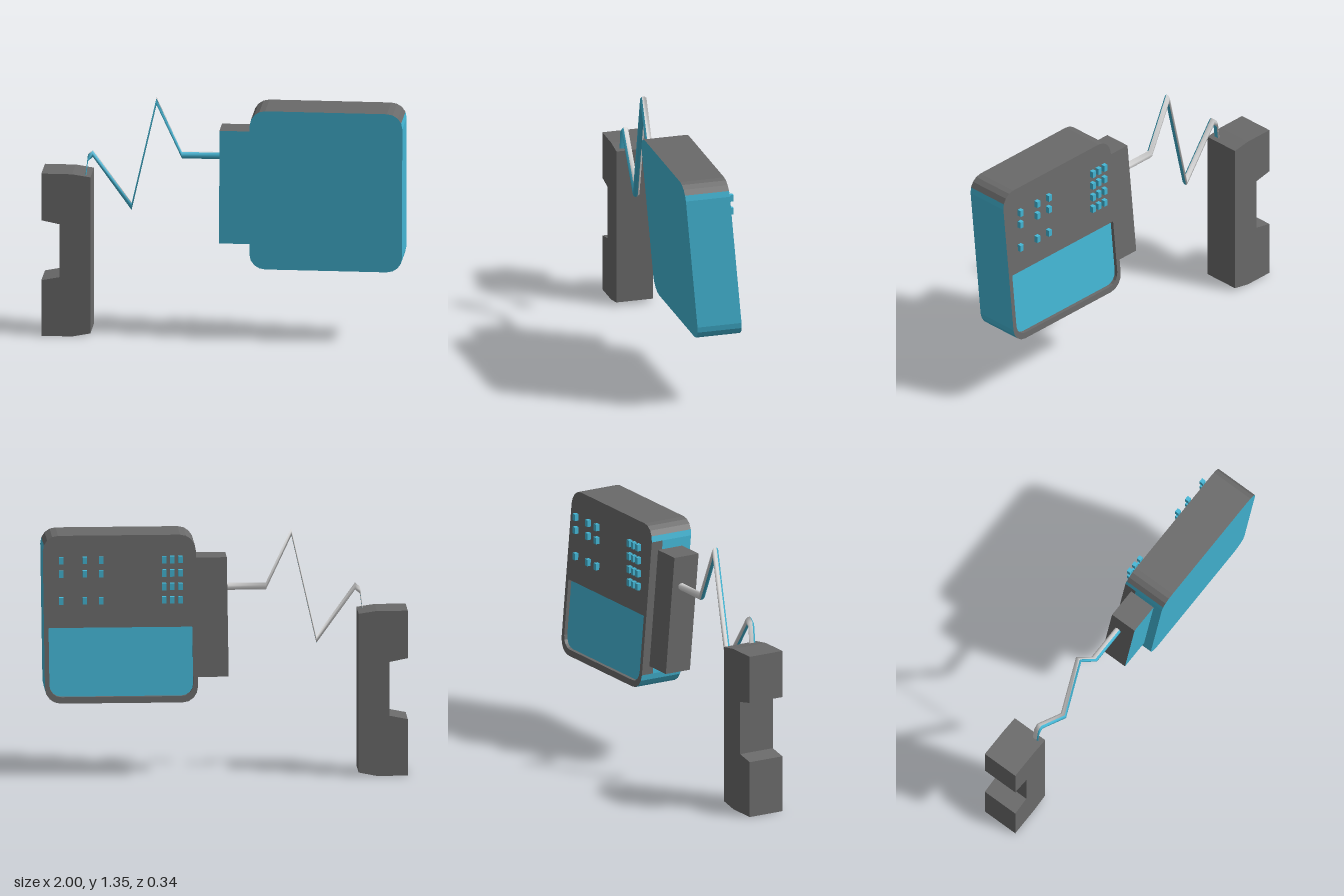
import * as THREE from 'three';

const mat = (name, color, extra = {}) => {
  const m = new THREE.MeshStandardMaterial({ color, ...extra });
  m.name = name;
  return m;
};

// Counter-clockwise rounded rectangle with separate top and bottom radii
function outline(x0, x1, y0, y1, rTop, rBottom, segments = 4) {
  const pts = [];
  const corners = [
    [x1 - rBottom, y0 + rBottom, rBottom, -90], [x1 - rTop, y1 - rTop, rTop, 0],
    [x0 + rTop, y1 - rTop, rTop, 90], [x0 + rBottom, y0 + rBottom, rBottom, 180],
  ];
  for (const [cx, cy, r, start] of corners) {
    for (let i = 0; i <= segments; i++) {
      const a = THREE.MathUtils.degToRad(start + (90 * i) / segments);
      pts.push(new THREE.Vector2(cx + r * Math.cos(a), cy + r * Math.sin(a)));
    }
  }
  return pts;
}

// Flat wall strip along an outline; keep() selects which edges are built
function wall(pts, zA, zB, keep = () => true) {
  const pos = [];
  pts.forEach((p, i) => {
    const q = pts[(i + 1) % pts.length];
    if (!keep(p, q)) return;
    pos.push(p.x, p.y, zA, q.x, q.y, zA, q.x, q.y, zB, p.x, p.y, zA, q.x, q.y, zB, p.x, p.y, zB);
  });
  const g = new THREE.BufferGeometry();
  g.setAttribute('position', new THREE.Float32BufferAttribute(pos, 3));
  return g;
}

// Flat face at depth z, facing front or back
function face(pts, z, facesBack = false, hole = null) {
  const shape = new THREE.Shape(pts);
  if (hole) shape.holes.push(new THREE.Path(hole));
  const g = new THREE.ShapeGeometry(shape).translate(0, 0, z);
  if (facesBack) g.index.array.reverse();
  return g;
}

// Leans a geometry forward towards its top
function lean(g) {
  const p = g.attributes.position;
  for (let i = 0; i < p.count; i++) {
    const d = p.getY(i) - 0.88;
    p.setX(i, p.getX(i) + 0.011 * d);
    p.setZ(i, p.getZ(i) + 0.092 * d);
  }
  g.computeVertexNormals();
  return g;
}

// Strip of the cord: a round section kept upright along the whole path
function cordStrip(path, radius, startDeg, endDeg, steps) {
  const pos = [], idx = [];
  for (const [x, y] of path) {
    for (let j = 0; j <= steps; j++) {
      const a = THREE.MathUtils.degToRad(startDeg + ((endDeg - startDeg) * j) / steps);
      pos.push(x, y + radius * Math.sin(a), -0.005 + radius * Math.cos(a));
    }
  }
  const n = steps + 1;
  for (let i = 0; i < path.length - 1; i++) {
    for (let j = 0; j < steps; j++) {
      const a = i * n + j, b = a + n;
      idx.push(a, a + 1, b, a + 1, b + 1, b);
    }
  }
  const g = new THREE.BufferGeometry();
  g.setAttribute('position', new THREE.Float32BufferAttribute(pos, 3));
  g.setIndex(idx);
  g.computeVertexNormals();
  return g;
}

export function createModel() {
  const model = new THREE.Group();
  model.name = 'deskPhone';
  const grey = mat('charcoalGrey', 0x6a6a6a);
  const blue = mat('skyBlue', 0x44b7d6);
  const cordBlue = mat('cordBlue', 0x44b7d6, { side: THREE.DoubleSide });
  const cordGrey = mat('cordLightGrey', 0xd6d6d6, { side: THREE.DoubleSide });
  const add = (name, geometry, material, parent = model) => {
    const m = new THREE.Mesh(geometry, material);
    m.name = name;
    parent.add(m);
    return m;
  };

  // Body: blue front and walls, grey top, grey back with a recessed screen
  const body = new THREE.Group();
  body.name = 'body';
  model.add(body);
  const zFront = 0.13, zBack = -0.122, zSplit = zBack + 0.07;
  const edge = outline(0.155, 0.995, 0.42, 1.34, 0.085, 0.085);
  const screen = outline(0.18, 0.97, 0.455, 0.835, 0.005, 0.065);
  const isTop = (p, q) => (p.y + q.y) / 2 > 1.3;
  const isSide = (p, q) => p.x < 0.16 && q.x < 0.16 && p.y - q.y > 0.5;
  add('bodyFront', lean(face(edge, zFront)), blue, body);
  add('bodyBack', lean(face(edge, zBack, true, screen)), grey, body);
  add('bodyTop', lean(wall(edge, zBack, zFront, isTop)), grey, body);
  add('bodyWall', lean(wall(edge, zBack, zFront, (p, q) => !isTop(p, q) && !isSide(p, q))), blue, body);
  add('bodySideRear', lean(wall(edge, zBack, zSplit, isSide)), grey, body);
  add('bodySideFront', lean(wall(edge, zSplit, zFront, isSide)), blue, body);
  add('screenRim', lean(wall(screen, zBack + 0.02, zBack)), grey, body);
  add('screen', lean(face(screen, zBack + 0.02, true)), blue, body);

  // Cradle block on the side of the body
  const cradle = new THREE.BoxGeometry(0.2, 0.655, 0.155).translate(0.083, 0.878, 0);
  add('cradle', lean(cradle), [grey, grey, grey, grey, blue, grey]);

  // Buttons: a keypad and a group of function keys
  const buttons = new THREE.Group();
  buttons.name = 'buttons';
  model.add(buttons);
  const rows = [1.21, 1.135, 1.06, 0.985];
  const buttonGeometry = new THREE.BoxGeometry(0.024, 0.038, 0.023);
  const key = (name, x, y) => add(name, buttonGeometry, blue, buttons).position.set(x, y, -0.123);
  rows.forEach((y, r) => {
    for (const x of [0.245, 0.29, 0.335]) key('keypadButton', x, y);
    if (r !== 2) for (const x of [0.68, 0.77, 0.9]) key('functionButton', x, y);
  });

  // Handset: side profile with a grip notch
  const profile = [
    [-1, 0], [-0.83, 0], [-0.73, 0.02], [-0.73, 0.905], [-0.83, 0.92],
    [-1, 0.92], [-1, 0.655], [-0.9, 0.635], [-0.9, 0.335], [-1, 0.315],
  ].map(([x, y]) => new THREE.Vector2(x, y));
  const handset = new THREE.ExtrudeGeometry(new THREE.Shape(profile), { depth: 0.21, bevelEnabled: false });
  add('handset', handset.translate(0, 0, -0.17), grey);

  // Zigzag cord, blue in front and light grey behind
  const path = [
    [0, 1.035], [-0.23, 1.035], [-0.37, 1.335], [-0.507, 0.735],
    [-0.72, 1.03], [-0.747, 1.005], [-0.762, 0.88],
  ];
  add('cordFront', cordStrip(path, 0.02, -115, 65, 4), cordBlue);
  add('cordBack', cordStrip(path, 0.02, 65, 245, 4), cordGrey);

  return model;
}
